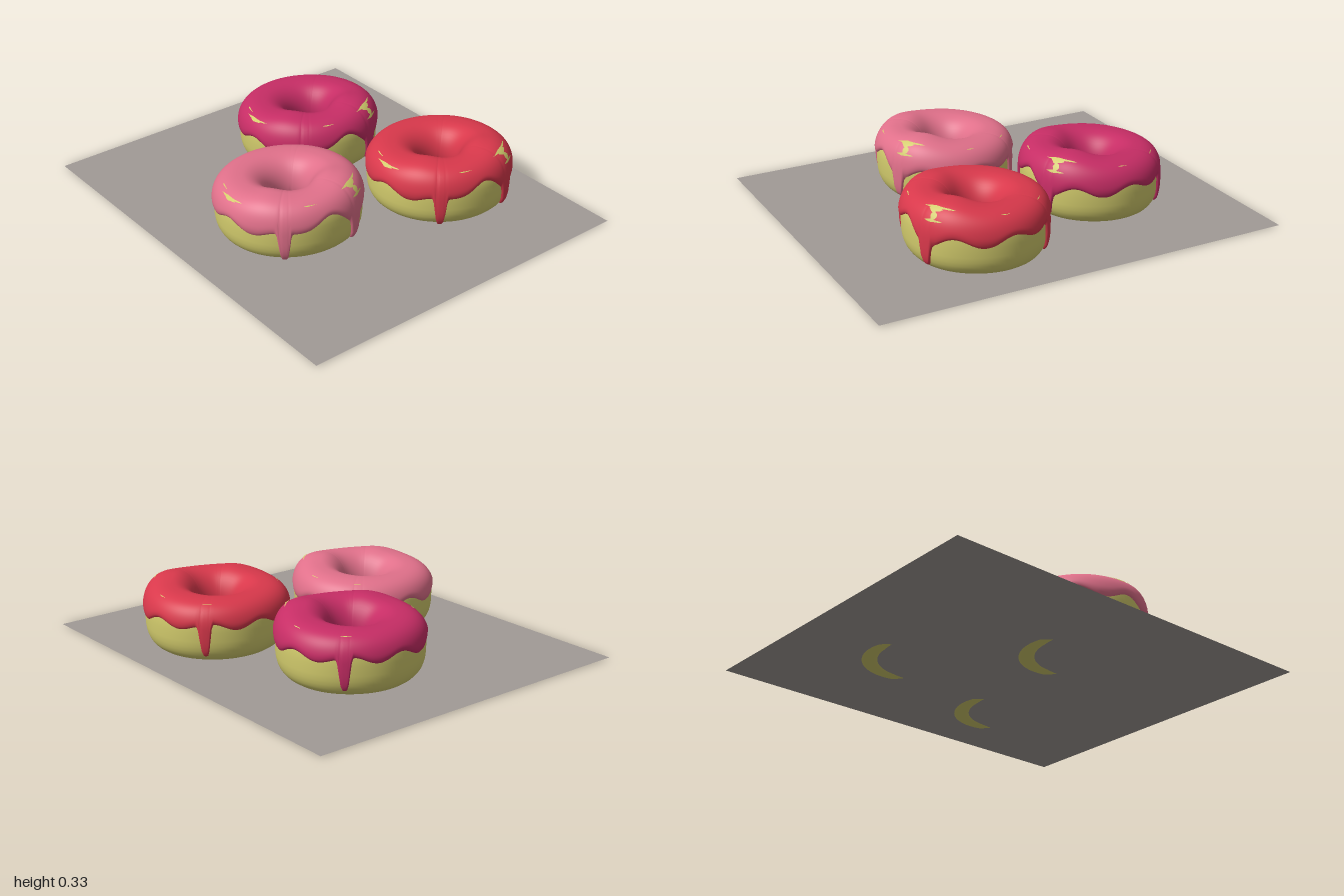
import * as THREE from 'three';

const DEG = Math.PI / 180;
const MID = 0.155;      // height of the ring's equator
const ICING = 0.012;    // icing thickness

// smooth bump around an angle (all in degrees)
function bump(theta, centre, width, power = 2) {
  const d = ((theta / DEG - centre) % 360 + 540) % 360 - 180;
  return Math.exp(-Math.pow(Math.abs(d / width), power));
}

// half heights of the dough above and below the equator
const upper = (t) => 0.285 + 0.01 * Math.cos(t) + 0.022 * bump(t, -37, 28) + 0.012 * bump(t, 60, 22) - MID;
const lower = (t) => 0.148 + 0.007 * Math.cos(t - 225 * DEG);

// point on the lumpy ring: t goes round the ring, p round its cross-section
function ringPoint(t, p, off) {
  const c = Math.cos(p), s = Math.sin(p);
  const power = c < 0 ? 2.1 : s > 0 ? 2.6 : 3;
  const outer = 0.115 + 0.01 * Math.sin(t) ** 2 + 0.012 * bump(t, -32, 25)
    + 0.004 * bump(t, 128, 25) - 0.004 * bump(t, 217, 20);
  const inner = 0.113 - 0.007 * Math.sin(t + 0.3) ** 2;
  const a = (c < 0 ? inner : outer) + off;
  const b = (s > 0 ? upper(t) : lower(t)) + off;
  const r = 0.21 + a * Math.sign(c) * Math.abs(c) ** (2 / power);
  const y = MID + b * Math.sign(s) * Math.abs(s) ** (2 / power);
  return [r * Math.cos(t), Math.max(y, 0), r * Math.sin(t)];
}

// lower rim of the icing: scallops and three long drips
function icingRim(t) {
  let y = 0.172 - 0.02 * Math.cos(8 * (t - 65 * DEG));
  y += 0.042 * bump(t, 8, 20) + 0.02 * bump(t, 225, 32);
  for (const [angle, tip] of [[40, 0.03], [-24, 0.048], [225, 0.04]]) {
    y -= 0.02 * bump(t, angle, 11);
    y += (tip - y) * bump(t, angle, 4.6, 4);
  }
  return y < MID
    ? -Math.asin(Math.min(1, ((MID - y) / lower(t)) ** 1.5))
    : Math.asin(((y - MID) / upper(t)) ** 1.3);
}

// grid surface from a rule, optionally joined up in either direction
function surface(nu, nv, rule, wrapU, wrapV) {
  const cu = wrapU ? nu : nu + 1, cv = wrapV ? nv : nv + 1;
  const pos = [], index = [];
  for (let i = 0; i < cu; i++) for (let j = 0; j < cv; j++) pos.push(...rule(i / nu, j / nv));
  for (let i = 0; i < nu; i++) {
    for (let j = 0; j < nv; j++) {
      const i2 = (i + 1) % cu, j2 = (j + 1) % cv;
      const a = i * cv + j, b = i * cv + j2, c = i2 * cv + j2, d = i2 * cv + j;
      index.push(a, b, c, a, c, d);
    }
  }
  const geo = new THREE.BufferGeometry();
  geo.setAttribute('position', new THREE.Float32BufferAttribute(pos, 3));
  geo.setIndex(index);
  geo.computeVertexNormals();
  return geo;
}

// bare spots in the icing: angle from, angle to, section angle, half width
const SPOTS = [
  [-47, -16, 60, 4], [-36, -23, 56, 9], [-33, -27, 42, 13], [-38, -22, 33, 3],
  [77, 106, 50, 3.5], [84, 98, 47, 4], [103, 116, 60, 1.5],
  [12, 25, 56, 1.5], [-93, -83, 58, 1.2], [219, 230, 60, 1.2],
];

export function createModel() {
  const mat = (name, color, side = THREE.FrontSide) => {
    const m = new THREE.MeshStandardMaterial({ color, side });
    m.name = name;
    return m;
  };
  const mesh = (name, geo, material) => {
    const m = new THREE.Mesh(geo, material);
    m.name = name;
    return m;
  };
  const dough = mat('dough', 0xd2cb6c);
  const board = mat('board grey', 0xa19a96, THREE.DoubleSide);

  const doughGeo = surface(96, 40, (u, v) => ringPoint(u * 2 * Math.PI, v * 2 * Math.PI, 0), true, true);

  // icing runs from its scalloped rim over the top and into the hole
  const icingGeo = surface(300, 34, (u, v) => {
    const t = u * 2 * Math.PI, s = v ** 1.4, rim = icingRim(t);
    const lip = Math.min(1, s / 0.06, (1 - s) / 0.1);
    const off = -0.002 + (ICING + 0.002) * Math.sqrt(Math.max(0, lip * (2 - lip)));
    return ringPoint(t, rim + (200 * DEG - rim) * s, off);
  }, true, false);

  const spotGeos = SPOTS.map(([from, to, angle, half]) => surface(16, 6, (u, v) => {
    const w = half * Math.sin(Math.PI * u) * (0.8 + 0.2 * Math.cos(9 * u));
    return ringPoint((from + (to - from) * u) * DEG, (angle + w * (2 * v - 1)) * DEG, ICING + 0.002);
  }, false, false));

  const model = new THREE.Group();
  model.name = 'doughnuts on a board';

  // flat board
  const base = mesh('board', new THREE.PlaneGeometry(2, 1.71).rotateX(-Math.PI / 2), board);
  base.position.y = 0.004;
  model.add(base);

  // three doughnuts
  for (const [name, color, x, z] of [
    ['pink', 0xe0708a, 0.12, 0.325],
    ['red', 0xd8384b, 0.33, -0.4],
    ['magenta', 0xc62d65, -0.39, -0.185],
  ]) {
    const ring = new THREE.Group();
    ring.name = name + ' doughnut';
    ring.add(mesh('dough', doughGeo, dough));
    ring.add(mesh('icing', icingGeo, mat(name + ' icing', color)));
    for (const geo of spotGeos) ring.add(mesh('bare spot', geo, dough));
    ring.position.set(x, 0, z);
    model.add(ring);
  }
  return model;
}
